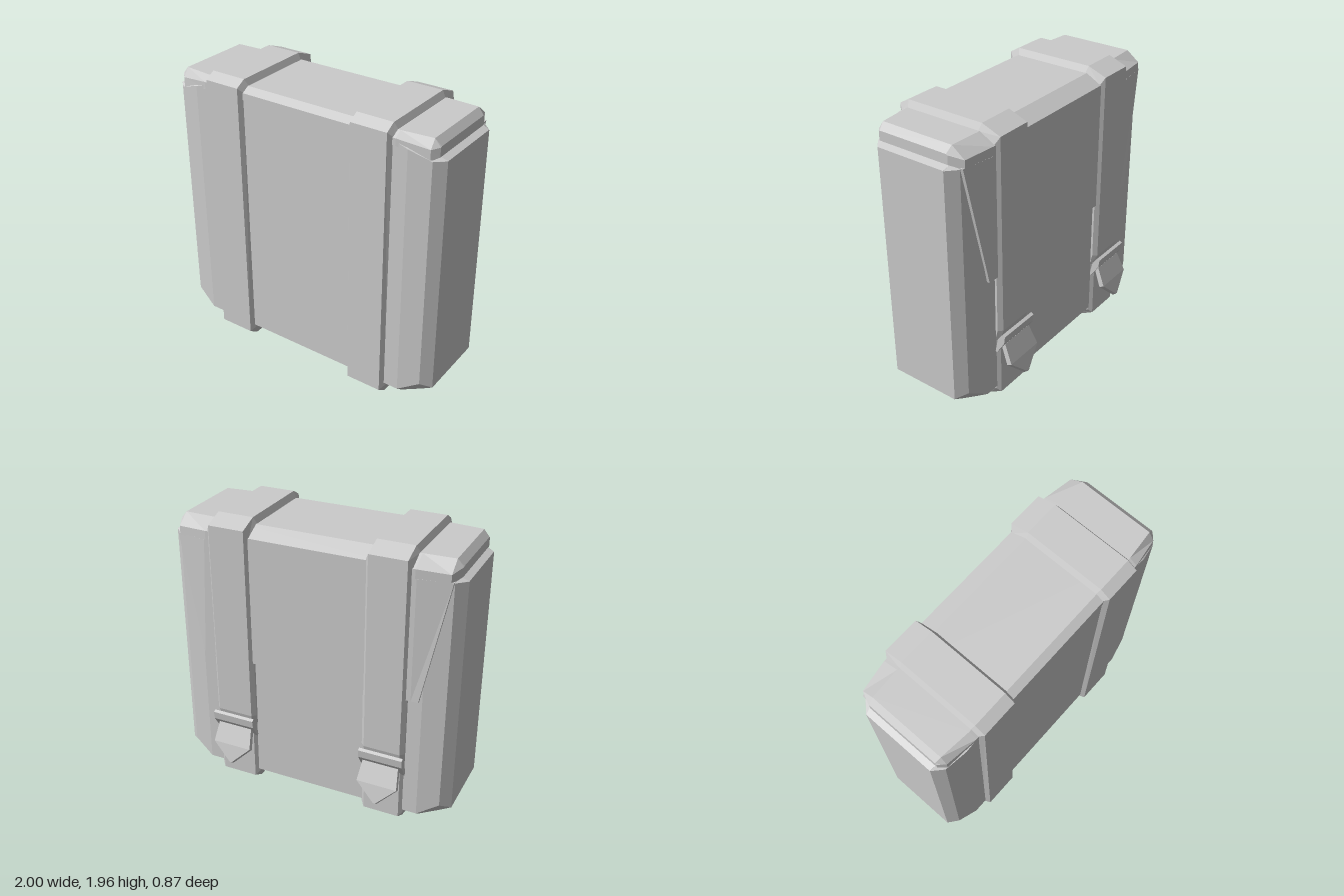
import * as THREE from 'three';

const material = new THREE.MeshStandardMaterial({ color: 0xcccccc, flatShading: true });

// Skins a row of closed rings (each a list of [x, y, z]) and closes both ends.
function loft(name, rings) {
  const tris = [];
  const n = rings[0].length;
  for (let i = 0; i < rings.length - 1; i++) {
    for (let j = 0; j < n; j++) {
      const k = (j + 1) % n;
      const a = rings[i][j], b = rings[i][k], c = rings[i + 1][k], d = rings[i + 1][j];
      tris.push([a, b, c], [a, c, d]);
    }
  }
  const first = rings[0], last = rings[rings.length - 1];
  for (let j = 1; j < n - 1; j++) {
    tris.push([first[0], first[j + 1], first[j]], [last[0], last[j], last[j + 1]]);
  }
  // Turn the faces outward if the enclosed volume is negative.
  let volume = 0;
  for (const [a, b, c] of tris) {
    volume += new THREE.Vector3(...a).dot(new THREE.Vector3(...b).cross(new THREE.Vector3(...c)));
  }
  if (volume < 0) tris.forEach((t) => t.reverse());
  const geometry = new THREE.BufferGeometry();
  geometry.setAttribute('position', new THREE.Float32BufferAttribute(tris.flat(2), 3));
  geometry.computeVertexNormals();
  const mesh = new THREE.Mesh(geometry, material);
  mesh.name = name;
  return mesh;
}

// Places a [z, y] profile at a given x.
const ringAt = (x, profile) => profile.map(([z, y]) => [x, y, z]);

// Lofts profiles from the +x end inward, mirrored to the -x end.
function mirroredLoft(name, sections) {
  const left = sections.map(([x, p]) => ringAt(x, p));
  const right = sections.map(([x, p]) => ringAt(-x, p)).reverse();
  return loft(name, [...left, ...right]);
}

// Strap with bevelled sides, buckle bar and hanging pointed tip.
function createStrap(side) {
  const strap = new THREE.Group();
  strap.name = side > 0 ? 'leftStrap' : 'rightStrap';
  const base = [[0.39, 0.08], [0.33, 0.04], [-0.2, 0.04], [-0.285, 0.08],
    [-0.285, 0.48], [-0.305, 0.56], [-0.305, 1.86], [-0.19, 1.915], [0.345, 1.915], [0.395, 1.885]];
  const outer = [[0.43, 0.05], [0.36, 0], [-0.22, 0], [-0.31, 0.05],
    [-0.31, 0.48], [-0.332, 0.56], [-0.332, 1.91], [-0.2, 1.96], [0.36, 1.96], [0.43, 1.92]];
  strap.add(loft('strapBand', [
    ringAt(side * 0.395, base), ringAt(side * 0.42, outer),
    ringAt(side * 0.67, outer), ringAt(side * 0.695, base),
  ]));

  const bar = [[-0.29, 0.4], [-0.3, 0.39], [-0.36, 0.485], [-0.367, 0.54], [-0.347, 0.55], [-0.31, 0.5]];
  strap.add(loft('buckleBar', [ringAt(side * 0.395, bar), ringAt(side * 0.7, bar)]));

  // Each row: y, outer z, inner z, half width
  const tipRows = [
    [0.46, -0.345, -0.315, 0.125],
    [0.33, -0.405, -0.372, 0.14],
    [0.205, -0.435, -0.41, 0.008],
  ];
  const cx = side * 0.545;
  strap.add(loft('strapTip', tipRows.map(([y, zo, zi, w]) => [
    [cx - w, y, zo], [cx + w, y, zo], [cx + w, y - 0.02, zi], [cx - w, y - 0.02, zi],
  ])));
  return strap;
}

export function createModel() {
  const model = new THREE.Group();
  model.name = 'bag';

  // Main body, narrowing to bevelled ends
  model.add(mirroredLoft('body', [
    [1, [[0.31, 0.152], [0.308, 0.15], [-0.188, 0.15], [-0.19, 0.152],
      [-0.19, 1.788], [-0.188, 1.79], [0.308, 1.79], [0.31, 1.788]]],
    [0.935, [[0.37, 0.19], [0.32, 0.118], [-0.2, 0.118], [-0.255, 0.19],
      [-0.255, 1.79], [-0.2, 1.815], [0.32, 1.815], [0.37, 1.79]]],
    [0.79, [[0.4, 0.1], [0.34, 0.05], [-0.22, 0.05], [-0.29, 0.1],
      [-0.29, 1.8], [-0.2, 1.87], [0.34, 1.87], [0.4, 1.84]]],
    [0.7, [[0.4, 0.1], [0.34, 0.05], [-0.22, 0.05], [-0.29, 0.1],
      [-0.29, 1.82], [-0.2, 1.9], [0.34, 1.9], [0.4, 1.87]]],
  ]));

  const flap = new THREE.Group();
  flap.name = 'flap';
  // Flap top
  flap.add(mirroredLoft('flapTop', [
    [0.96, [[0.33, 1.81], [0.33, 1.87], [0.32, 1.875], [-0.18, 1.875], [-0.19, 1.87], [-0.19, 1.81]]],
    [0.92, [[0.372, 1.79], [0.37, 1.86], [0.33, 1.918], [-0.19, 1.918], [-0.28, 1.85], [-0.28, 1.79]]],
    [0.71, [[0.403, 1.84], [0.403, 1.887], [0.35, 1.918], [-0.2, 1.918], [-0.312, 1.86], [-0.312, 1.79]]],
  ]));
  // Flap back panel, tapering downward; rows: y, half width, edge z
  const panelRows = [[1.8, 0.935, -0.277], [0.97, 0.77, -0.312]];
  flap.add(loft('flapPanel', panelRows.map(([y, w, ze]) => [
    [-w, y, ze], [-0.72, y, -0.312], [0.72, y, -0.312], [w, y, ze],
    [w, y, ze + 0.04], [0.72, y, -0.27], [-0.72, y, -0.27], [-w, y, ze + 0.04],
  ])));
  model.add(flap);

  for (const side of [1, -1]) model.add(createStrap(side));
  return model;
}
